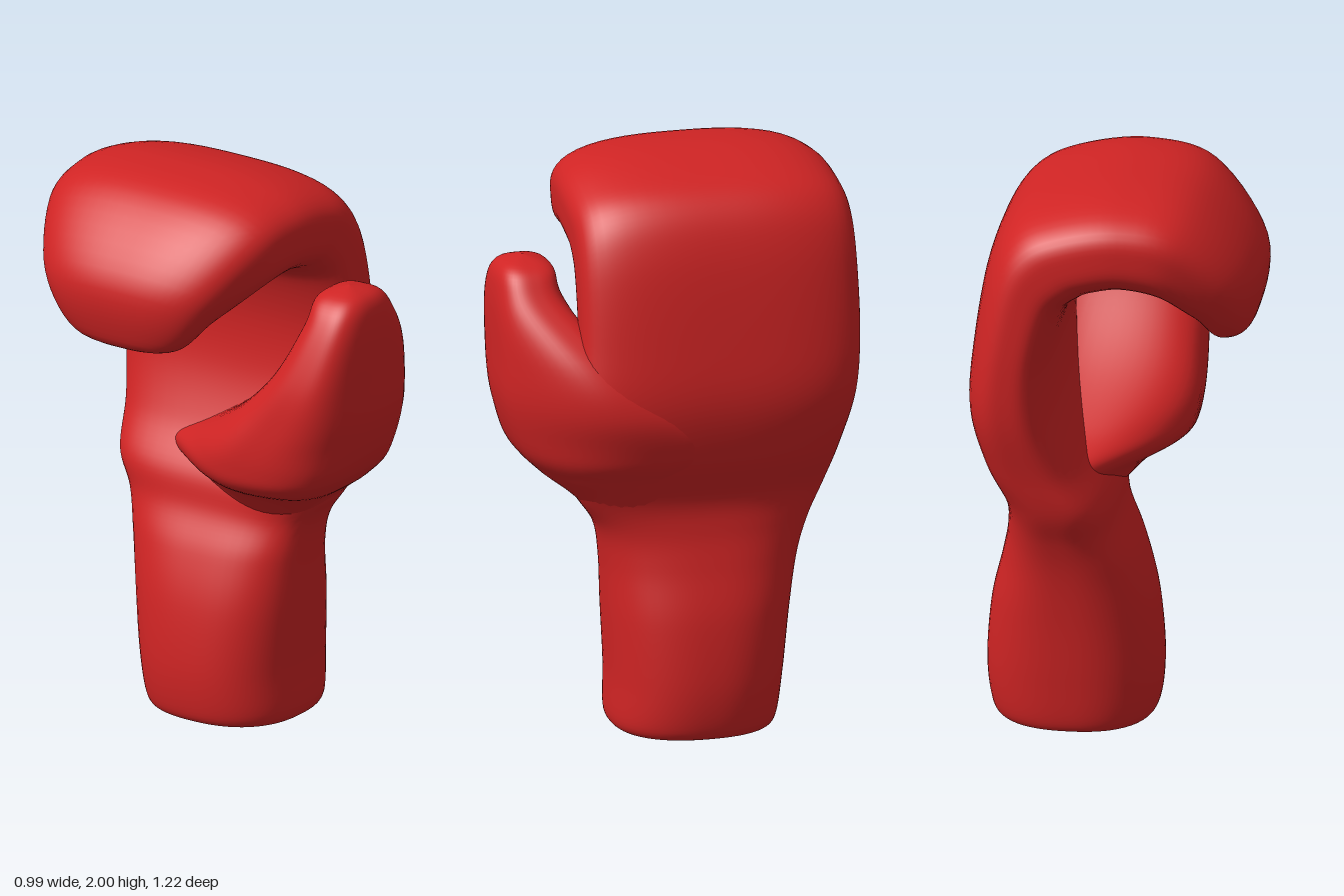
import * as THREE from 'three';

// A cross-section: palm-side edge, outer edge, back and front
const section = (ix, iy, ox, oy, z0, z1) => [ix, iy, ox, oy, z0, z1];
const level = (y, x0, x1, z0, z1) => section(x0, y, x1, y, z0, z1);

const HAND = [
  // hollow of the cuff, from its floor down to the rim
  level(0.4, 0.16, 0.16, -0.07, -0.07),
  level(0.38, 0, 0.33, -0.25, 0.11),
  level(0.04, -0.06, 0.39, -0.29, 0.16),
  level(0.005, -0.08, 0.41, -0.32, 0.19),
  // cuff and wrist
  level(0.04, -0.115, 0.45, -0.35, 0.225),
  level(0.2, -0.131, 0.468, -0.372, 0.225),
  level(0.42, -0.11, 0.45, -0.397, 0.237),
  level(0.6, -0.06, 0.408, -0.427, 0.248),
  level(0.73, 0, 0.384, -0.465, 0.275),
  level(0.85, 0.03, 0.388, -0.515, 0.35),
  // palm
  level(1, 0.12, 0.455, -0.55, 0.39),
  level(1.2, 0.19, 0.5, -0.595, 0.39),
  section(0.2, 1.4, 0.485, 1.42, -0.61, 0.365),
  // curled fingers
  section(0.15, 1.58, 0.434, 1.72, -0.61, 0.36),
  section(0.08, 1.64, 0.352, 1.885, -0.61, 0.357),
  section(0.02, 1.66, 0.2, 1.962, -0.605, 0.357),
  section(-0.06, 1.665, -0.04, 1.998, -0.59, 0.35),
  section(-0.17, 1.63, -0.28, 1.945, -0.555, 0.32),
  section(-0.25, 1.54, -0.48, 1.71, -0.46, 0.21),
  section(-0.32, 1.455, -0.46, 1.49, -0.33, 0.08),
  section(-0.385, 1.438, -0.385, 1.438, -0.125, -0.125),
];

const THUMB = [
  // heel of the hand, rooted inside the wrist
  level(0.7, 0.07, 0.33, -0.35, 0.2),
  level(0.85, -0.06, 0.385, -0.42, 0.365),
  level(0.93, -0.185, 0.42, -0.34, 0.47),
  level(1.02, -0.215, 0.465, -0.14, 0.55),
  // thumb
  level(1.18, -0.215, 0.495, 0.1, 0.6),
  level(1.35, -0.195, 0.43, 0.27, 0.61),
  level(1.54, -0.13, 0.25, 0.38, 0.608),
  level(1.635, -0.06, 0.165, 0.405, 0.58),
  level(1.668, 0.05, 0.05, 0.495, 0.495),
];

// Catmull-Rom value through the rows
function smoothRow(rows, i, t) {
  const at = (k) => rows[Math.min(Math.max(k, 0), rows.length - 1)];
  const [a, b, c, d] = [at(i - 1), at(i), at(i + 1), at(i + 2)];
  return b.map((v, k) => v + 0.5 * t * (c[k] - a[k]
    + t * (2 * a[k] - 5 * v + 4 * c[k] - d[k] + t * (3 * (v - c[k]) + d[k] - a[k]))));
}

// Skin of superelliptical rings, squarer where they are deep, most so on the
// palm side; bend moves each point
function loft(rows, roundness, bend = (p) => p, sides = 64, steps = 7) {
  const positions = [];
  const index = [];
  const rings = (rows.length - 1) * steps + 1;
  for (let j = 0; j < rings; j++) {
    const i = Math.floor(j / steps);
    const [ix, iy, ox, oy, z0, z1] = smoothRow(rows, i, j / steps - i);
    const deep = THREE.MathUtils.smoothstep(z1 - z0, 0.55, 0.95);
    for (let k = 0; k < sides; k++) {
      const a = (k / sides) * Math.PI * 2;
      const c = Math.cos(a);
      const s = Math.sin(a);
      const n = roundness + deep * (c > 0 ? 0.35 : 1.4);
      const r = Math.pow(Math.abs(c) ** n + Math.abs(s) ** n, -1 / n);
      const u = (1 + r * c) / 2;
      const w = (1 + r * s) / 2;
      const p = bend(new THREE.Vector3(
        ix + (ox - ix) * u, Math.max(0, iy + (oy - iy) * u), z0 + (z1 - z0) * w));
      positions.push(p.x, p.y, p.z);
      if (j < rings - 1) {
        const q = j * sides + k;
        const e = j * sides + ((k + 1) % sides);
        index.push(q, q + sides, e, e, q + sides, e + sides);
      }
    }
  }
  const geometry = new THREE.BufferGeometry();
  geometry.setAttribute('position', new THREE.Float32BufferAttribute(positions, 3));
  geometry.setIndex(index);
  geometry.computeVertexNormals();
  return geometry;
}

// The thumb's outer side sweeps back into the palm and its heel narrows to the back
function sweepBack(p) {
  const narrow = 0.8 * THREE.MathUtils.smoothstep(0.2 - p.z, 0, 0.75);
  p.x = THREE.MathUtils.lerp(p.x, 0.3, narrow);
  const d = p.x - 0.23;
  const lift = THREE.MathUtils.smoothstep(p.y, 0.75, 1.1);
  p.z -= lift * 0.33 * (d + Math.sqrt(d * d + 0.003));
  return p;
}

export function createModel() {
  const model = new THREE.Group();
  model.name = 'glove';
  const red = new THREE.MeshStandardMaterial({ color: 0xd02424 });
  const add = (name, geometry) => {
    const mesh = new THREE.Mesh(geometry, red);
    mesh.name = name;
    model.add(mesh);
  };
  add('cuffPalmAndFingers', loft(HAND, 2.4));
  add('thumb', loft(THUMB, 2.9, sweepBack));
  return model;
}
